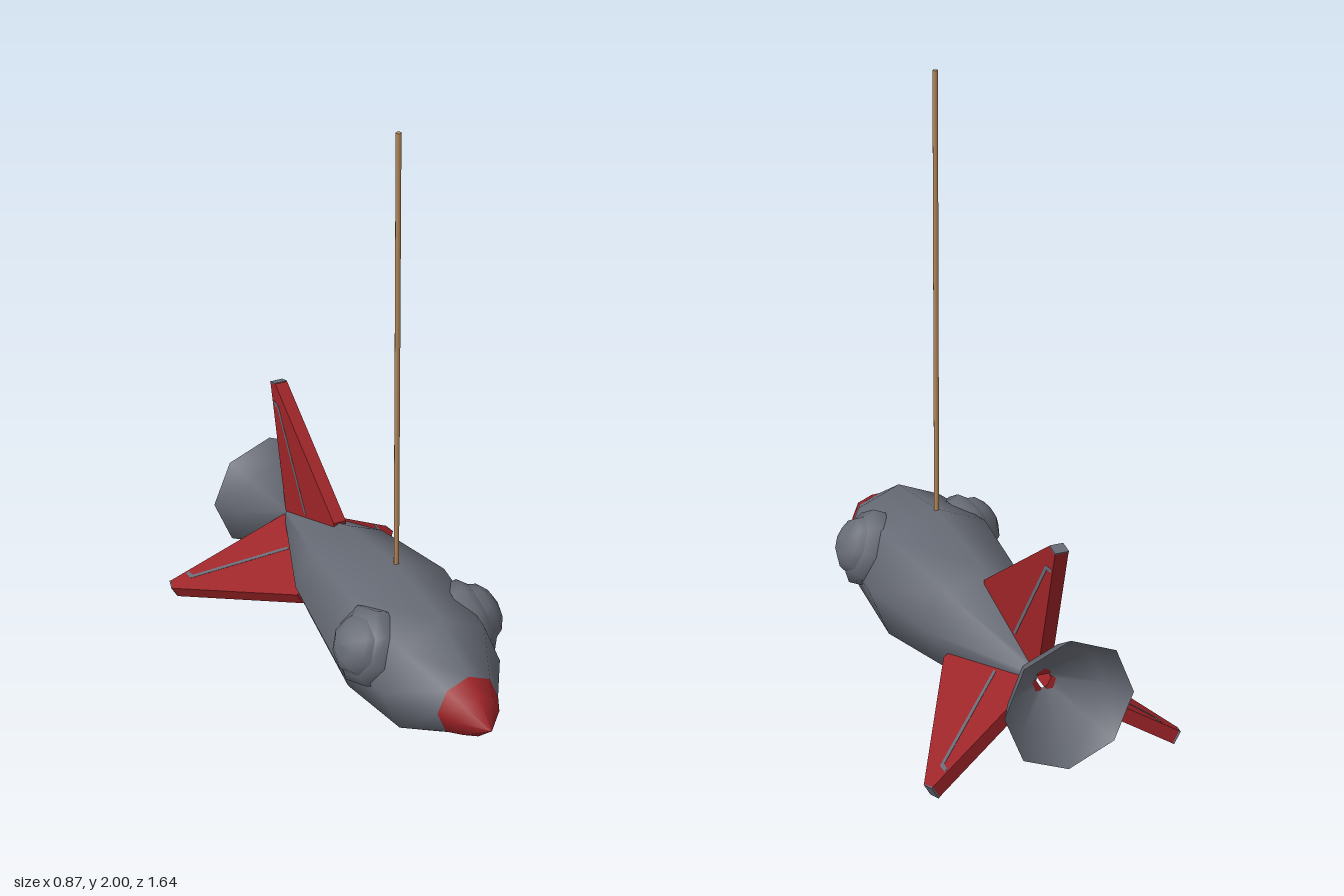
import * as THREE from 'three';

const grey = new THREE.MeshStandardMaterial({ name: 'hull grey', color: 0x666a74 });
const greyOpen = new THREE.MeshStandardMaterial({ name: 'nozzle grey', color: 0x666a74, side: THREE.DoubleSide });
const red = new THREE.MeshStandardMaterial({ name: 'red', color: 0x9c2327 });
const brown = new THREE.MeshStandardMaterial({ name: 'pole brown', color: 0xb5895a });

const SIDES = 8;

function add(parent, name, geometry, material) {
  const mesh = new THREE.Mesh(geometry, material);
  mesh.name = name;
  parent.add(mesh);
  return mesh;
}

// Revolved profile of [radius, height] points, from low to high
function lathe(points) {
  return new THREE.LatheGeometry(points.map(([r, h]) => new THREE.Vector2(r, h)), SIDES);
}

// Flat plate in the z-y plane, centred on x = 0, from [z, radius] points
function plate(points, thickness) {
  const shape = new THREE.Shape(points.map(([z, r]) => new THREE.Vector2(z, r)));
  return new THREE.ExtrudeGeometry(shape, { depth: thickness, bevelEnabled: false })
    .translate(0, 0, -thickness / 2)
    .rotateY(-Math.PI / 2);
}

function makeFin(name) {
  const fin = new THREE.Group();
  fin.name = name;
  const t = 0.045;
  add(fin, 'finBlade', plate([[-0.25, 0.175], [-0.25, 0.1], [-0.64, 0.02], [-0.75, 0.478], [-0.71, 0.488]], t), red);
  // Grey cap on the tip and thin line along both faces
  add(fin, 'finTip', plate([[-0.712, 0.487], [-0.749, 0.474], [-0.752, 0.479], [-0.712, 0.49]], t + 0.001), grey);
  add(fin, 'finLine', plate([
    [-0.47, 0.09], [-0.485, 0.09], [-0.695, 0.402], [-0.725, 0.405], [-0.725, 0.417], [-0.688, 0.415],
  ], t + 0.002), grey);
  return fin;
}

function makePorthole(side) {
  const porthole = new THREE.Group();
  porthole.name = side > 0 ? 'leftPorthole' : 'rightPorthole';
  add(porthole, 'portholeRing', lathe([[0.13, -0.035], [0.13, 0.01], [0.098, 0.035]]), grey);
  add(porthole, 'portholeDome', lathe([[0.1, 0.03], [0.085, 0.06], [0.05, 0.083], [0, 0.092]]), grey);
  const a = Math.PI / 8;
  const normal = new THREE.Vector3(side * Math.cos(a), Math.sin(a), 0.12).normalize();
  porthole.quaternion.setFromUnitVectors(new THREE.Vector3(0, 1, 0), normal);
  porthole.position.set(side * 0.196, 0.081, 0.33);
  return porthole;
}

export function createModel() {
  const model = new THREE.Group();
  model.name = 'rocketOnPole';

  const rocket = new THREE.Group();
  rocket.name = 'rocket';
  rocket.position.y = 0.267;
  model.add(rocket);

  // Faceted body and nose, revolved around the long axis
  add(rocket, 'hull', lathe([
    [0.028, -0.64], [0.19, -0.2], [0.248, 0.17], [0.21, 0.49], [0.107, 0.665],
  ]).rotateX(Math.PI / 2), grey);
  add(rocket, 'nose', lathe([[0.107, 0.665], [0.073, 0.735], [0, 0.82]]).rotateX(Math.PI / 2), red);

  // Open exhaust bell
  add(rocket, 'nozzle', lathe([
    [0.218, -0.82], [0.165, -0.73], [0.028, -0.635],
  ]).rotateX(Math.PI / 2), greyOpen);

  // Three fins evenly around the tail
  ['topFin', 'rightFin', 'leftFin'].forEach((name, i) => {
    const fin = makeFin(name);
    fin.rotation.z = i * Math.PI * 2 / 3;
    rocket.add(fin);
  });

  for (const side of [1, -1]) rocket.add(makePorthole(side));

  // Thin pole rising from the widest point
  add(model, 'pole', new THREE.CylinderGeometry(0.009, 0.009, 1.5, 8), brown).position.set(0, 1.25, 0.17);

  return model;
}
